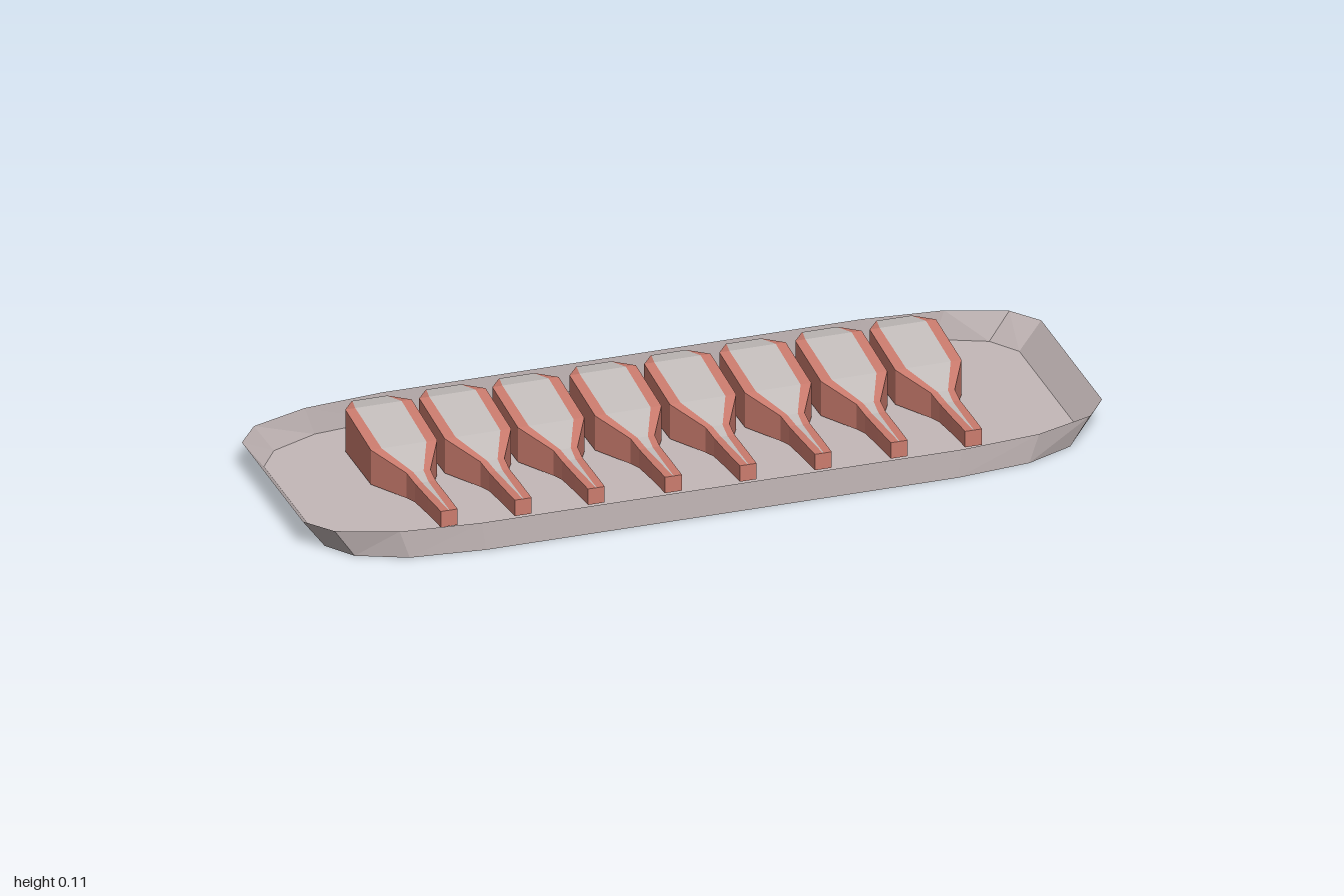
import * as THREE from 'three';

const tray = new THREE.MeshStandardMaterial({ color: 0xc4b8b8, side: THREE.DoubleSide, flatShading: true });
tray.name = 'trayGrey';
const meat = new THREE.MeshStandardMaterial({ color: 0xcc7c6e, flatShading: true });
meat.name = 'meatPink';
const fat = new THREE.MeshStandardMaterial({ color: 0xc6c0be, flatShading: true });
fat.name = 'paleFat';

// Mesh from a list of quads, each [a, b, c, d] counter-clockwise
function quadMesh(quads, material, name) {
  const pos = [];
  for (const [a, b, c, d] of quads) pos.push(...a, ...b, ...c, ...a, ...c, ...d);
  const geo = new THREE.BufferGeometry();
  geo.setAttribute('position', new THREE.Float32BufferAttribute(pos, 3));
  geo.computeVertexNormals();
  const mesh = new THREE.Mesh(geo, material);
  mesh.name = name;
  return mesh;
}

// Shallow tray: the ends lean outwards, the long sides stand upright
function makeTray() {
  const height = 0.073;
  // top x, bottom x, z for one corner
  const corner = [[1, 0.945, 0.222], [0.945, 0.895, 0.295], [0.8, 0.775, 0.347], [0.6, 0.59, 0.366]];
  const flipped = [...corner].reverse();
  const outline = [
    ...corner.map(([t, b, z]) => [t, b, -z]),
    ...flipped.map(([t, b, z]) => [-t, -b, -z]),
    ...corner.map(([t, b, z]) => [-t, -b, z]),
    ...flipped,
  ];
  const group = new THREE.Group();
  group.name = 'tray';
  const walls = [], floor = [];
  outline.forEach(([t, b, z], i) => {
    const [t2, b2, z2] = outline[(i + 1) % outline.length];
    walls.push([[b, 0, z], [b2, 0, z2], [t2, height, z2], [t, height, z]]);
    floor.push([[0, 0, 0], [b, 0, z], [(b + b2) / 2, 0, (z + z2) / 2], [b2, 0, z2]]);
  });
  group.add(quadMesh(walls, tray, 'trayWalls'), quadMesh(floor, tray, 'trayFloor'));
  return group;
}

// Cross-sections of a chop, back to front: z, half width, half width of pale strip, top, bottom
const sections = [
  [-0.297, 0.044, 0.043, 0.099, 0.003],
  [-0.232, 0.083, 0.058, 0.113, 0.003],
  [-0.045, 0.083, 0.056, 0.094, 0.003],
  [0.06, 0.03, 0.013, 0.074, 0.008],
  [0.11, 0.026, 0.008, 0.069, 0.02],
  [0.2, 0.024, 0.004, 0.073, 0.03],
  [0.285, 0.021, 0.001, 0.077, 0.035],
];

function makeChop() {
  const rings = sections.map(([z, w, s, top, bottom]) => [
    [-w, bottom, z], [-w, top, z], [-s, top, z], [s, top, z], [w, top, z], [w, bottom, z],
  ]);
  const meatQuads = [], fatQuads = [];
  for (let k = 0; k < rings.length - 1; k++) {
    for (let i = 0; i < 6; i++) {
      const j = (i + 1) % 6;
      (i === 2 ? fatQuads : meatQuads).push([rings[k][i], rings[k + 1][i], rings[k + 1][j], rings[k][j]]);
    }
  }
  // pale back face and bone end
  const back = rings[0], front = rings[rings.length - 1];
  fatQuads.push([back[0], back[1], back[4], back[5]]);
  meatQuads.push([front[0], front[5], front[4], front[1]]);
  const group = new THREE.Group();
  group.add(quadMesh(meatQuads, meat, 'chopMeat'), quadMesh(fatQuads, fat, 'chopFat'));
  return group;
}

export function createModel() {
  const model = new THREE.Group();
  model.name = 'trayOfChops';
  model.add(makeTray());
  // Row of chops
  [-0.655, -0.47, -0.287, -0.094, 0.093, 0.281, 0.471, 0.657].forEach((x, i) => {
    const chop = makeChop();
    chop.name = `chop${i + 1}`;
    chop.position.x = x;
    model.add(chop);
  });
  return model;
}
